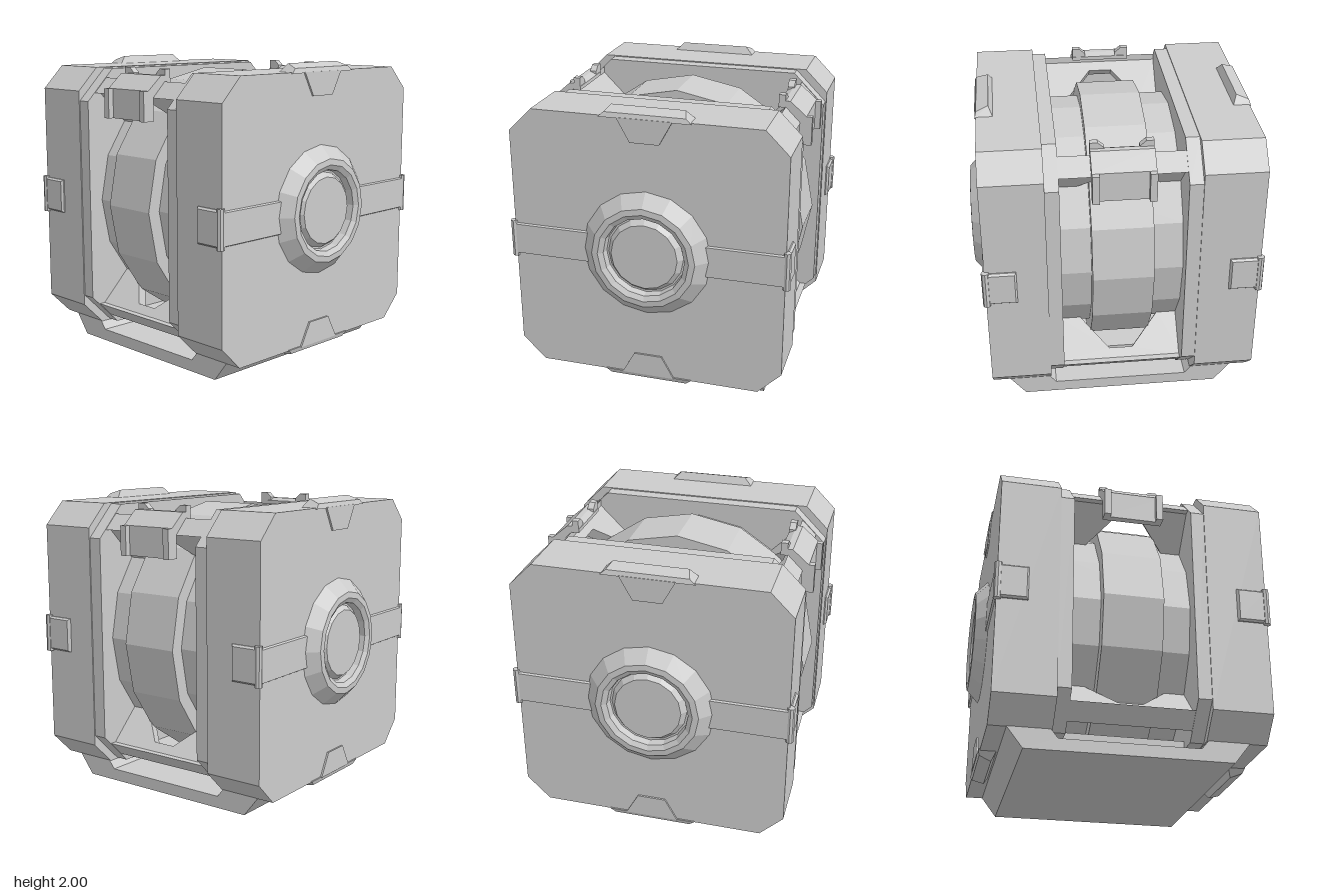
import * as THREE from 'three';

const material = new THREE.MeshStandardMaterial({ color: 0xcccccc, flatShading: true });

function add(parent, name, geometry, x = 0, y = 0, z = 0) {
  const mesh = new THREE.Mesh(geometry, material);
  mesh.name = name;
  mesh.position.set(x, y, z);
  parent.add(mesh);
  return mesh;
}

function polygon(points) {
  return new THREE.Shape(points.map(([a, b]) => new THREE.Vector2(a, b)));
}

// Extrude a [z, y] outline along x from x0 to x1
function alongX(points, x0, x1) {
  const shape = polygon(points.map(([z, y]) => [-z, y]));
  const g = new THREE.ExtrudeGeometry(shape, { depth: x1 - x0, bevelEnabled: false });
  return g.rotateY(Math.PI / 2).translate(x0, 0, 0);
}

// Extrude an [x, y] outline along z, centred on z = 0
function alongZ(points, depth) {
  const g = new THREE.ExtrudeGeometry(polygon(points), { depth, bevelEnabled: false });
  return g.translate(0, 0, -depth / 2);
}

// Square of half-size h with corners cut by c
function octagon(h, c) {
  const k = h - c;
  return [[-k, -h], [k, -h], [h, -k], [h, k], [k, h], [-k, h], [-h, k], [-h, -k]];
}

const box = (w, h, d) => new THREE.BoxGeometry(w, h, d);

// Sixteen-sided roller lying along x
function roller(radius, length) {
  return new THREE.CylinderGeometry(radius, radius, length, 16).rotateZ(Math.PI / 2);
}

// Raised tab wrapping over the outer top edge of a side
function edgeTab() {
  const tab = new THREE.Group();
  tab.name = 'edgeTab';
  const g = alongX([[-0.3, 0.9], [0.3, 0.9], [0.24, 0.96], [-0.24, 0.96]], 0.78, 0.9);
  const p = g.attributes.position;
  for (let i = 0; i < p.count; i++) {
    if (p.getY(i) < 0.95) continue;
    if (p.getX(i) > 0.85) p.setXYZ(i, 0.89, 0.932, p.getZ(i) * 1.1);
    else p.setX(i, 0.81);
  }
  g.computeVertexNormals();
  add(tab, 'tabCap', g);
  add(tab, 'tabKeystone', alongX([[-0.18, 0.905], [0.18, 0.905], [0.095, 0.75], [-0.095, 0.75]], 0.88, 0.902));
  return tab;
}

// Strap and clip running from the side boss around one vertical edge
function strap() {
  const g = new THREE.Group();
  g.name = 'sideStrap';
  const band = [[0.88, -0.115], [0.904, -0.103], [0.904, 0.103], [0.88, 0.115]];
  add(g, 'strapBand', alongZ(band, 0.56), 0, 0, 0.63);
  add(g, 'strapPin', new THREE.CylinderGeometry(0.025, 0.025, 0.255, 8), 0.885, 0, 0.915);
  const clip = polygon([[0.7, -0.105], [0.88, -0.105], [0.88, 0.105], [0.7, 0.105]]);
  add(g, 'strapClip', new THREE.ExtrudeGeometry(clip,
    { depth: 0.02, bevelSize: 0.012, bevelThickness: 0.015, bevelSegments: 1 }), 0, 0, 0.895);
  return g;
}

function side() {
  const g = new THREE.Group();
  g.name = 'sideHousing';
  add(g, 'outerSlab', alongX(octagon(0.907, 0.155), 0.49, 0.89));
  add(g, 'innerSlab', alongX(octagon(0.9, 0.215), 0.4, 0.49));

  // Round boss with a groove around a centre disc
  const profile = [[0.43, 0.88], [0.43, 0.89], [0.345, 0.972], [0.305, 0.975], [0.272, 0.955],
    [0.265, 0.905], [0.252, 0.905], [0.222, 0.945], [0, 0.945]];
  const lathe = new THREE.LatheGeometry(profile.map(([r, x]) => new THREE.Vector2(r, x)), 16);
  const boss = add(g, 'sideBoss', lathe.rotateZ(-Math.PI / 2));
  boss.material = material.clone();
  boss.material.side = THREE.DoubleSide;

  for (const turn of [0, Math.PI]) {
    const tab = edgeTab();
    tab.rotation.x = turn;
    const band = strap();
    band.rotation.x = turn;
    g.add(tab, band);
  }
  return g;
}

// Bar across the cut corner with a thick notched fin reaching to the roller
function corner() {
  const g = new THREE.Group();
  g.name = 'cornerBrace';
  add(g, 'cornerBar', alongX([[0.74, 0.84], [0.84, 0.74], [0.74, 0.74]], -0.41, 0.41));
  const inner = 0.557 * Math.SQRT2;
  const notch = 0.72 * Math.SQRT2;
  const outer = 0.77 * Math.SQRT2;
  const fin = alongZ([[-0.41, outer], [-0.41, inner], [-0.27, inner], [-0.08, notch],
    [0.08, notch], [0.27, inner], [0.41, inner], [0.41, outer]], 0.08);
  add(g, 'cornerFin', fin.rotateX(Math.PI / 4));
  return g;
}

// Folded latch hooked over the top bar
function latch() {
  const g = new THREE.Group();
  g.name = 'latch';
  const fold = [[0.73, 0.88], [0.77, 0.88], [0.88, 0.785], [0.88, 0.59], [0.835, 0.59],
    [0.835, 0.74], [0.74, 0.835], [0.69, 0.835], [0.69, 0.86]];
  add(g, 'latchPlate', alongX(fold, -0.2, 0.2));
  for (const s of [-1, 1]) {
    add(g, 'latchRib', box(0.045, 0.195, 0.05), s * 0.1775, 0.6875, 0.893);
    const horn = [[0.11, 0.86], [0.2, 0.86], [0.2, 0.92], [0.15, 0.92], [0.11, 0.885]];
    add(g, 'latchHorn', alongZ(horn.map(([x, y]) => [s * x, y]), 0.045), 0, 0, 0.715);
  }
  return g;
}

export function createModel() {
  const model = new THREE.Group();
  model.name = 'rollerCube';

  // Everything above the base is symmetric about this centre
  const core = new THREE.Group();
  core.name = 'core';
  core.position.y = 1.04;
  model.add(core);

  add(core, 'rollerRim', roller(0.8, 0.82));
  add(core, 'rollerBand', roller(0.89, 0.4));

  for (const turn of [0, Math.PI]) {
    const housing = side();
    housing.rotation.y = turn;
    const clasp = latch();
    clasp.rotation.y = turn;
    core.add(housing, clasp);
  }
  for (let i = 0; i < 4; i++) {
    const brace = corner();
    brace.rotation.x = i * Math.PI / 2;
    core.add(brace);
  }

  // Floor between the housings, and the channelled base below
  add(model, 'floorPanel', box(0.82, 0.06, 1.1), 0, 0.168, 0);
  add(model, 'base', alongZ([[-0.67, 0], [0.67, 0], [0.775, 0.136], [0.5, 0.136], [0.455, 0.08],
    [-0.455, 0.08], [-0.5, 0.136], [-0.775, 0.136]], 1.51));
  return model;
}
